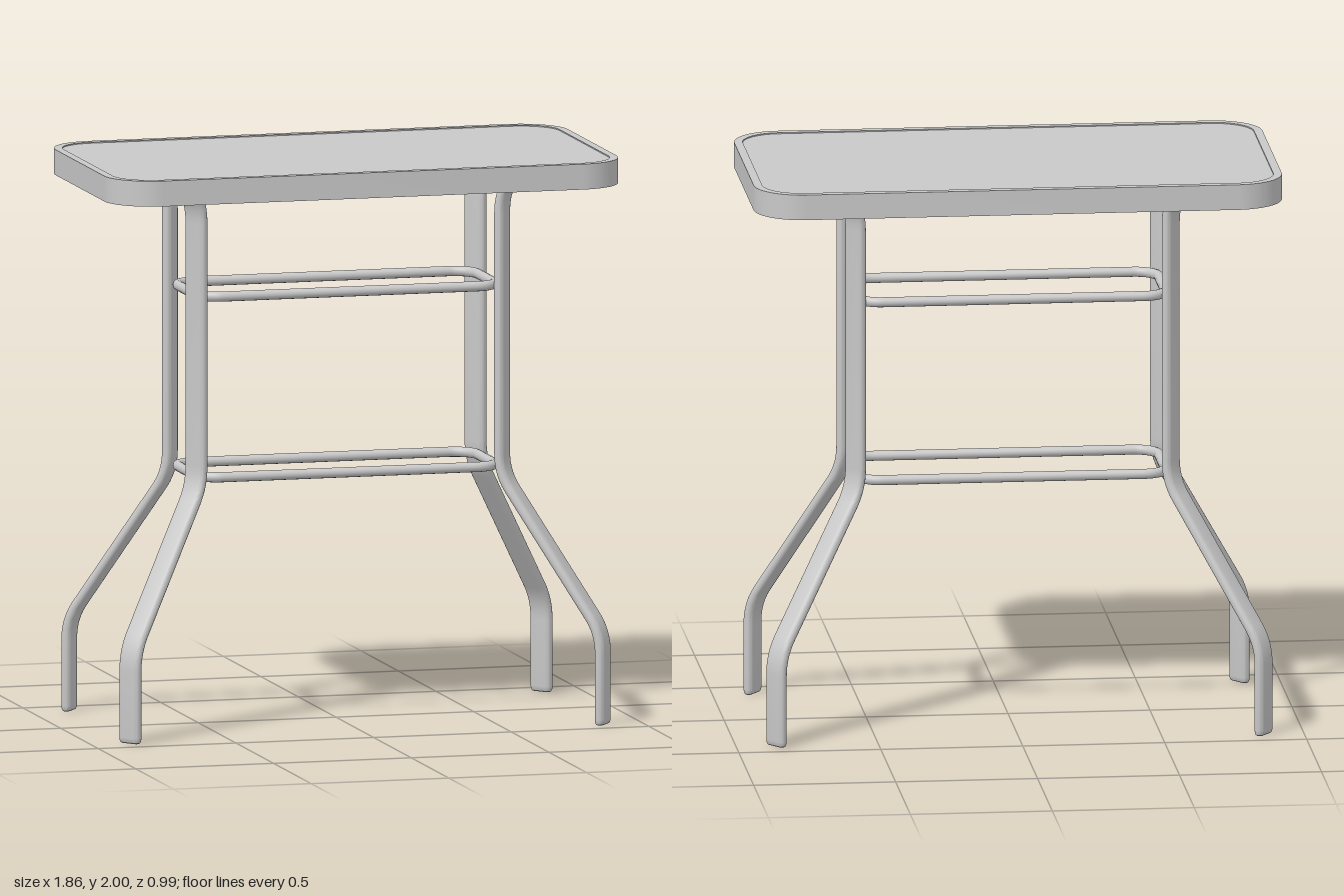
import * as THREE from 'three';
import { toCreasedNormals } from 'three/addons/utils/BufferGeometryUtils.js';

const V2 = (x, y) => new THREE.Vector2(x, y);

// Rounded rectangle outline from half sizes and a corner radius
function roundedRect(hx, hz, r, Type = THREE.Shape) {
  const s = new Type();
  s.moveTo(hx, -(hz - r));
  s.absarc(hx - r, hz - r, r, 0, Math.PI / 2);
  s.absarc(-(hx - r), hz - r, r, Math.PI / 2, Math.PI);
  s.absarc(-(hx - r), -(hz - r), r, Math.PI, Math.PI * 1.5);
  s.absarc(hx - r, -(hz - r), r, Math.PI * 1.5, Math.PI * 2);
  return s;
}

// Horizontal slab standing on y = 0
function slab(shape, height) {
  const g = new THREE.ExtrudeGeometry(shape, { depth: height, bevelEnabled: false, curveSegments: 14 });
  g.rotateX(-Math.PI / 2);
  return toCreasedNormals(g, 0.5);
}

// Centre line with softened corners: [x, y, trim]
function bentPath(nodes) {
  const pts = [V2(nodes[0][0], nodes[0][1])];
  for (let i = 1; i < nodes.length - 1; i++) {
    const p = V2(nodes[i][0], nodes[i][1]);
    const toward = (n) => p.clone().add(V2(n[0], n[1]).sub(p).setLength(nodes[i][2]));
    pts.push(...new THREE.QuadraticBezierCurve(toward(nodes[i - 1]), p, toward(nodes[i + 1])).getPoints(10));
  }
  const end = nodes[nodes.length - 1];
  pts.push(V2(end[0], end[1]));
  return pts;
}

// Flat oval tube swept along a path in the XY plane, with a rounded foot
function flatTube(path, straight, radius) {
  const arc = 8, section = [];
  for (const side of [1, -1]) {
    for (let i = 0; i <= arc; i++) {
      const a = Math.PI * (i / arc) + (side > 0 ? 0 : Math.PI);
      section.push([Math.cos(a), Math.sin(a), side * straight]);
    }
  }
  const rings = path.map((p, i) => {
    const t = V2(0, 0);
    if (i > 0) t.add(p.clone().sub(path[i - 1]).normalize());
    if (i < path.length - 1) t.add(path[i + 1].clone().sub(p).normalize());
    return { p, t: t.normalize(), r: radius, s: straight };
  });
  const foot = rings.shift(), last = rings[rings.length - 1];
  const at = (y, inset) => ({ ...foot, p: V2(foot.p.x, y), r: radius - inset });
  rings.unshift({ ...foot, r: 0, s: 0 }, at(0, 0.009), at(0.003, 0.004), at(0.01, 0.001), at(0.02, 0));
  rings.push({ ...last, r: 0, s: 0 });

  const pos = [], idx = [], n = section.length;
  rings.forEach(({ p, t, r, s }) => {
    for (const [c, d, o] of section) {
      pos.push(p.x + t.y * c * r, p.y - t.x * c * r, d * r + Math.sign(o) * s);
    }
  });
  for (let i = 0; i < rings.length - 1; i++) {
    for (let j = 0; j < n; j++) {
      const a = i * n + j, b = i * n + (j + 1) % n;
      idx.push(a, a + n, b, b, a + n, b + n);
    }
  }
  const g = new THREE.BufferGeometry();
  g.setAttribute('position', new THREE.Float32BufferAttribute(pos, 3));
  g.setIndex(idx);
  return toCreasedNormals(g, 0.6);
}

export function createModel() {
  const model = new THREE.Group();
  model.name = 'barTable';
  const metal = new THREE.MeshStandardMaterial({ color: 0xc8c8c8 });
  metal.name = 'light grey';
  const add = (name, geometry, y = 0) => {
    const m = new THREE.Mesh(geometry, metal);
    m.name = name;
    m.position.y = y;
    model.add(m);
    return m;
  };

  // Table top: deep hollow rim with a thin panel set into it
  const rim = roundedRect(0.93, 0.495, 0.17);
  rim.holes.push(roundedRect(0.9, 0.465, 0.14, THREE.Path));
  add('topRim', slab(rim, 0.09), 1.91);
  add('topPanel', slab(roundedRect(0.9, 0.465, 0.14), 0.02), 1.976);

  // Four bent legs splayed along the diagonals, meeting the rim corners
  const legX = 0.555, legZ = 0.177;
  const legGeometry = flatTube(bentPath([
    [0.38, 0], [0.38, 0.325, 0.07], [0, 0.87, 0.07], [0, 1.945, 0.15], [0.39, 1.945],
  ]), 0.026, 0.018);
  for (const sx of [1, -1]) {
    for (const sz of [1, -1]) {
      const leg = add(`${sz > 0 ? 'front' : 'back'}${sx > 0 ? 'Left' : 'Right'}Leg`, legGeometry);
      leg.position.set(sx * legX, 0, sz * legZ);
      leg.rotation.y = Math.atan2(-0.605 * sz, 0.797 * sx);
    }
  }

  // Two round-bar hoops tying the legs together
  const hoopPath = new THREE.CurvePath();
  const outline = roundedRect(0.543, 0.187, 0.082).getPoints(10).map((p) => new THREE.Vector3(p.x, 0, p.y));
  outline.forEach((p, i) => {
    const q = outline[(i + 1) % outline.length];
    if (p.distanceTo(q) > 1e-5) hoopPath.add(new THREE.LineCurve3(p, q));
  });
  const hoop = new THREE.TubeGeometry(hoopPath, 240, 0.018, 12, true);
  add('upperHoop', hoop, 1.535);
  add('lowerHoop', hoop, 0.895);

  return model;
}
